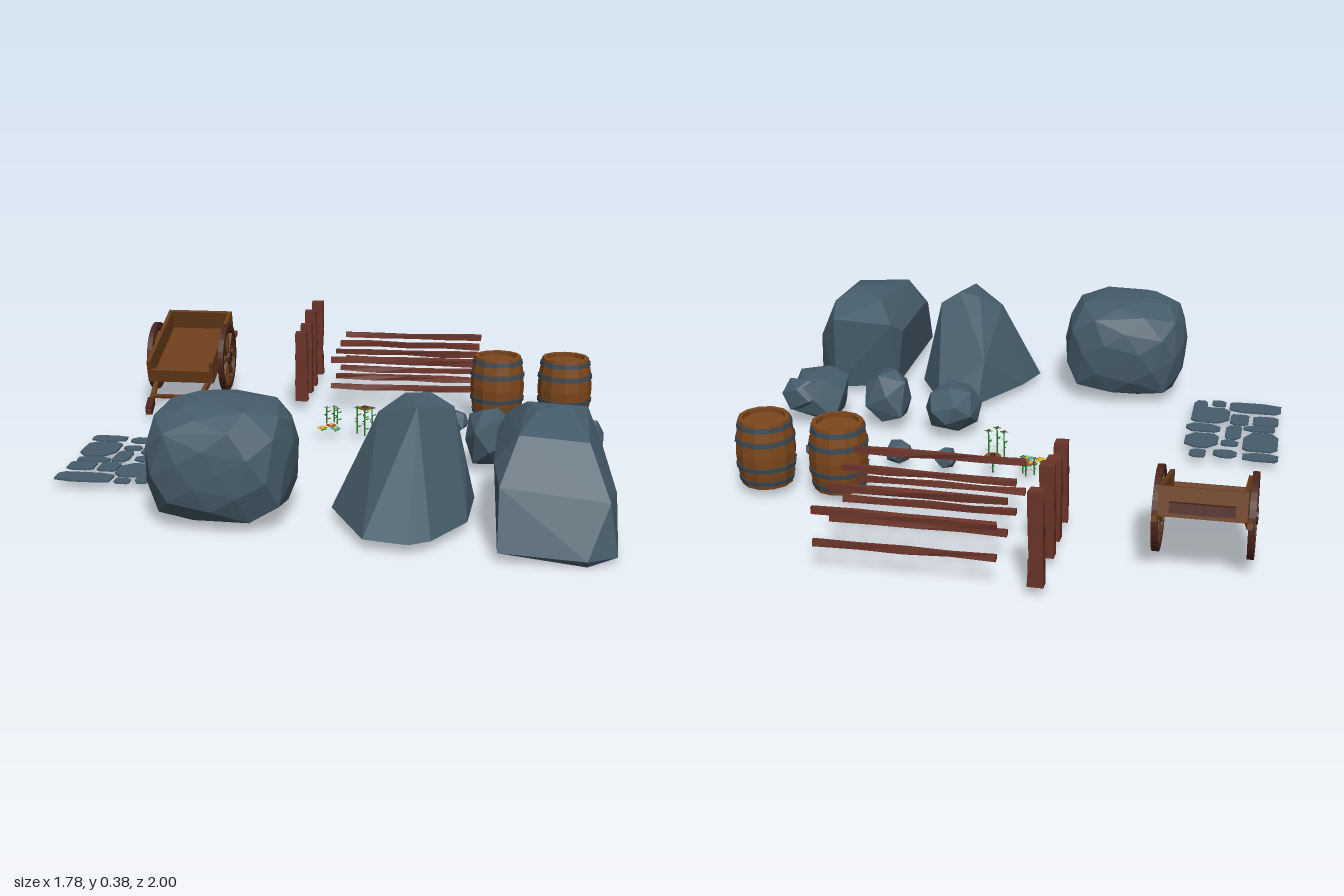
import * as THREE from 'three';
import { ConvexGeometry } from 'three/addons/geometries/ConvexGeometry.js';

const GROUND = 0.03;
const mat = (color, extra = {}) => new THREE.MeshStandardMaterial({ color, flatShading: true, ...extra });
const stone = mat(0x465c6a), wood = mat(0x6a3d1a), oak = mat(0x7c471c), darkWood = mat(0x4a241a),
  fenceWood = mat(0x6b3429), iron = mat(0x3c4850), leaf = mat(0x2c7a2e, { side: THREE.DoubleSide });

// small seeded generator
function seeded(s) {
  return () => { s = (s * 16807) % 2147483647; return s / 2147483647; };
}

function add(parent, name, geo, material, x = 0, y = 0, z = 0) {
  const m = new THREE.Mesh(geo, material);
  m.name = name;
  m.position.set(x, y, z);
  parent.add(m);
  return m;
}
const box = (p, name, m, w, h, d, x, y, z) => add(p, name, new THREE.BoxGeometry(w, h, d), m, x, y, z);

// faceted hull of a jittered superellipsoid, fitted to its box
function rock(parent, name, [x0, x1], [y0, y1], [z0, z1], { count = 22, power = 3, jitter = 0.12, seed = 7 } = {}) {
  const rnd = seeded(seed * 7919), pts = [];
  for (let i = 0; i < count; i++) {
    const y = 1 - 2 * (i + 0.5) / count, a = i * 2.39996 + seed, r = Math.sqrt(1 - y * y);
    const v = new THREE.Vector3(Math.cos(a) * r, y, Math.sin(a) * r);
    const n = (Math.abs(v.x) ** power + Math.abs(v.y) ** power + Math.abs(v.z) ** power) ** (1 / power);
    v.multiplyScalar((1 - jitter * rnd()) / n);
    v.y = Math.max(v.y, -0.8);
    pts.push(v);
  }
  const b = new THREE.Box3().setFromPoints(pts), s = b.getSize(new THREE.Vector3());
  pts.forEach(v => v.sub(b.min).divide(s).multiply(new THREE.Vector3(x1 - x0, y1 - y0, z1 - z0))
    .add(new THREE.Vector3(x0, y0, z0)));
  return add(parent, name, new ConvexGeometry(pts), stone);
}
const hull = (p, name, pts) => add(p, name, new ConvexGeometry(pts.map(q => new THREE.Vector3(...q))), stone);

function boulders(g) {
  rock(g, 'roundBoulder', [-0.515, -0.065], [GROUND, 0.37], [0.45, 0.885], { count: 75, power: 3.4, jitter: 0.03, seed: 3 });
  hull(g, 'peakedBoulder', [
    [0.21, 0.03, 0.31], [0.365, 0.03, 0.33], [0.465, 0.03, 0.51], [0.455, 0.03, 0.74], [0.36, 0.03, 0.915],
    [0.3, 0.03, 0.955], [0.165, 0.03, 0.925], [0.04, 0.03, 0.66], [0.085, 0.03, 0.53],
    [0.175, 0.32, 0.6], [0.25, 0.365, 0.54], [0.33, 0.375, 0.56], [0.4, 0.33, 0.55], [0.3, 0.365, 0.7],
    [0.44, 0.17, 0.6], [0.2, 0.17, 0.38]]);
  hull(g, 'longBoulder', [
    [0.55, 0.03, 0.44], [0.78, 0.02, 0.4], [0.87, 0.03, 0.52], [0.89, 0.03, 0.74], [0.885, 0.02, 0.95],
    [0.8, 0, 0.985], [0.7, 0, 0.8], [0.55, 0.03, 0.985], [0.8, 0.02, 1],
    [0.53, 0.24, 0.46], [0.56, 0.28, 0.4], [0.78, 0.29, 0.4], [0.85, 0.2, 0.47], [0.885, 0.14, 0.74],
    [0.53, 0.24, 0.8], [0.55, 0.2, 0.92], [0.86, 0.17, 0.93], [0.6, 0.325, 0.82], [0.8, 0.31, 0.82],
    [0.62, 0.34, 0.5], [0.65, 0.355, 0.65], [0.75, 0.36, 0.6], [0.8, 0.33, 0.5]]);
  rock(g, 'mediumRock', [0.155, 0.355], [GROUND, 0.18], [0, 0.245], { count: 20, power: 2.2, seed: 5 });
  rock(g, 'mediumRock', [0.415, 0.575], [GROUND, 0.21], [0.06, 0.21], { count: 16, power: 4, seed: 9 });
  rock(g, 'mediumRock', [0.65, 0.85], [GROUND, 0.185], [0.04, 0.25], { count: 20, power: 5, seed: 12 });
  rock(g, 'mediumRock', [0.72, 0.87], [0.07, 0.175], [0.03, 0.13], { count: 14, power: 5, seed: 4 });
  // pebbles: x, z, radius
  [[0.2, -0.24, 0.036], [0.365, -0.23, 0.042], [0.51, -0.235, 0.035], [0.525, -0.27, 0.032],
    [0.66, -0.24, 0.025], [0.81, -0.245, 0.025]].forEach(([x, z, r], i) =>
    rock(g, 'pebble', [x - r, x + r], [GROUND, GROUND + r * 1.7], [z - r, z + r], { count: 16, seed: 20 + i }));
}

// paving stones as cut-cornered slabs: x0, x1, z0, z1
function path(g) {
  const rnd = seeded(4242);
  [[-0.89, -0.77, 0, 0.06], [-0.75, -0.67, 0.01, 0.07], [-0.645, -0.59, 0, 0.06], [-0.885, -0.765, 0.08, 0.235],
    [-0.75, -0.69, 0.11, 0.155], [-0.68, -0.565, 0.08, 0.2], [-0.755, -0.7, 0.17, 0.285], [-0.87, -0.76, 0.25, 0.295],
    [-0.68, -0.56, 0.22, 0.285], [-0.88, -0.79, 0.305, 0.385], [-0.775, -0.71, 0.3, 0.39], [-0.705, -0.57, 0.305, 0.44],
    [-0.885, -0.7, 0.42, 0.505], [-0.685, -0.635, 0.46, 0.51], [-0.62, -0.57, 0.42, 0.5]].forEach(([x0, x1, z0, z1]) => {
    const w = x1 - x0, d = z1 - z0, c = () => 0.08 + 0.26 * rnd(), s = new THREE.Shape();
    s.setFromPoints([[c(), 0], [1 - c(), 0], [1, c()], [1, 1 - c()], [1 - c(), 1], [c(), 1], [0, 1 - c()], [0, c()]]
      .map(([u, v]) => new THREE.Vector2(x0 + u * w, -(z0 + v * d))));
    const geo = new THREE.ExtrudeGeometry(s, { depth: 0.006, bevelEnabled: false }).rotateX(-Math.PI / 2);
    add(g, 'pavingStone', geo, stone, 0, 0.025, 0);
  });
}

function barrel(g, x, z) {
  const b = new THREE.Group();
  b.name = 'barrel';
  b.position.set(x, GROUND, z);
  g.add(b);
  const H = 0.225, radius = y => 0.084 + 0.014 * Math.sin(Math.PI * y / H);
  const v = (r, y) => new THREE.Vector2(r, y);
  const side = [0, 0.05, 0.11, 0.17, H].map(y => v(radius(y), y));
  add(b, 'staves', new THREE.LatheGeometry([v(0, 0), ...side, v(0.07, H), v(0.07, H - 0.015), v(0, H - 0.015)], 12), oak);
  // iron hoops
  [0.012, 0.06, 0.15, 0.198].forEach(y => {
    const r0 = radius(y) + 0.003, r1 = radius(y + 0.016) + 0.003;
    add(b, 'hoop', new THREE.LatheGeometry([v(r0 - 0.01, y), v(r0, y), v(r1, y + 0.016), v(r1 - 0.01, y + 0.016)], 12), iron);
  });
}

function fence(g) {
  // post z, post height, rail z
  [[-0.98, 0.3, -0.97], [-0.8, 0.3, -0.81], [-0.69, 0.27, -0.675], [-0.56, 0.265, -0.53]].forEach(([z, h, rz], i) => {
    const rnd = seeded(991 * (i + 1));
    const rough = (geo, a) => {
      const p = geo.attributes.position, seen = {};
      for (let j = 0; j < p.count; j++) {
        const key = [p.getX(j), p.getY(j), p.getZ(j)].map(n => n.toFixed(3)).join();
        const o = seen[key] ??= [(rnd() - 0.5) * a, (rnd() - 0.5) * a];
        if (geo.parameters.width > 0.2) p.setXYZ(j, p.getX(j), p.getY(j) + o[0], p.getZ(j) + o[1]);
        else p.setXYZ(j, p.getX(j) + o[0], p.getY(j), p.getZ(j) + o[1]);
      }
      return geo;
    };
    add(g, 'fencePost', rough(new THREE.BoxGeometry(0.044, h, 0.038, 1, 3, 1), 0.006), fenceWood, -0.245, GROUND + h / 2, z);
    [0.1, 0.2].forEach(y => {
      box(g, 'postSocket', darkWood, 0.048, 0.022, 0.014, -0.245, y, z);
      add(g, 'fenceRail', rough(new THREE.BoxGeometry(0.545, 0.02, 0.016, 4, 1, 1), 0.007), fenceWood, 0.145, y, rz);
    });
  });
}

function cart(g) {
  const c = new THREE.Group(), bed = new THREE.Group();
  c.name = 'handCart';
  bed.name = 'cartBed';
  c.position.set(-0.697, 0.16, -0.68);
  bed.rotation.x = 0.31;
  c.add(bed);
  g.add(c);
  box(bed, 'floor', wood, 0.24, 0.014, 0.4, 0, 0.012, 0);
  box(bed, 'backWall', wood, 0.25, 0.085, 0.014, 0, 0.05, -0.193);
  box(bed, 'frontWall', wood, 0.25, 0.05, 0.014, 0, 0.03, 0.193);
  box(bed, 'tailBoard', darkWood, 0.185, 0.03, 0.03, 0, 0.035, -0.214);
  box(bed, 'crossBar', wood, 0.2, 0.012, 0.012, 0, -0.002, 0.29);
  add(c, 'axle', new THREE.CylinderGeometry(0.012, 0.012, 0.29, 8).rotateZ(Math.PI / 2), darkWood);
  for (const s of [-1, 1]) {
    box(bed, 'sideWall', wood, 0.014, 0.085, 0.4, s * 0.12, 0.05, 0);
    // shafts converge toward the grips
    const shaft = box(bed, 'shaft', wood, 0.016, 0.018, 0.6, s * 0.108, -0.004, 0.1);
    shaft.rotation.y = -s * 0.09;
    const grip = box(bed, 'grip', darkWood, 0.024, 0.03, 0.075, s * 0.0855, -0.004, 0.355);
    grip.rotation.y = -s * 0.09;
    // wheel
    const w = new THREE.Group();
    w.name = 'wheel';
    w.position.set(s * 0.139, 0, 0);
    w.rotation.y = Math.PI / 2;
    c.add(w);
    const ring = new THREE.Shape().absarc(0, 0, 0.13, 0, Math.PI * 2);
    ring.holes.push(new THREE.Path().absarc(0, 0, 0.108, 0, Math.PI * 2, true));
    add(w, 'rim', new THREE.ExtrudeGeometry(ring, { depth: 0.02, bevelEnabled: false, curveSegments: 16 }), darkWood, 0, 0, -0.01);
    add(w, 'hub', new THREE.CylinderGeometry(0.026, 0.026, 0.028, 10).rotateX(Math.PI / 2), darkWood);
    for (let i = 0; i < 8; i++) {
      const spoke = box(w, 'spoke', wood, 0.016, 0.1, 0.012, 0, 0, 0);
      spoke.geometry.translate(0, 0.064, 0);
      spoke.rotation.z = i * Math.PI / 4;
    }
  }
}

// flower: stem, paired leaves and a ring of petals
function flower(g, x, z, h, color, r, petals = 5, heart = 0xd8b030) {
  const f = new THREE.Group();
  f.name = 'flower';
  f.position.set(x, GROUND, z);
  g.add(f);
  add(f, 'stem', new THREE.CylinderGeometry(0.002, 0.003, h, 5), leaf, 0, h / 2, 0);
  for (let i = 0; i < 4; i++) {
    const l = add(f, 'leaf', new THREE.CircleGeometry(0.009, 5).scale(1, 0.5, 1).rotateX(-1.2).translate(0.009, 0, 0), leaf, 0, h * (0.25 + 0.15 * i), 0);
    l.rotation.set(0, i * 2.1, 0.3);
  }
  const petalMat = mat(color, { side: THREE.DoubleSide });
  for (let i = 0; i < petals; i++) {
    const p = add(f, 'petal', new THREE.CircleGeometry(r / 2, 6).scale(1, 0.75, 1).rotateX(-Math.PI / 2).translate(r / 2, 0, 0), petalMat, 0, h, 0);
    p.rotation.y = i * Math.PI * 2 / petals;
  }
  add(f, 'flowerHeart', new THREE.SphereGeometry(r * 0.35, 6, 4), mat(heart), 0, h, 0);
}

export function createModel() {
  const g = new THREE.Group();
  g.name = 'villageProps';
  boulders(g);
  path(g);
  fence(g);
  cart(g);
  barrel(g, 0.5, -0.45);
  barrel(g, 0.745, -0.455);
  flower(g, 0.033, -0.262, 0.06, 0x7a5216, 0.03, 12, 0x3a2410);
  flower(g, -0.08, -0.19, 0.012, 0xc22a2a, 0.022);
  flower(g, -0.107, -0.155, 0.012, 0xd9b52c, 0.022);
  flower(g, -0.06, -0.153, 0.012, 0x2fb5b0, 0.022);
  [[-0.105, -0.255], [-0.08, -0.272], [-0.065, -0.248]].forEach(([x, z]) => flower(g, x, z, 0.06, 0x2c7a2e, 0.012, 4, 0xd0506a));
  [[0.02, -0.14], [0.05, -0.11], [0.073, -0.14]].forEach(([x, z]) => flower(g, x, z, 0.095, 0x2c7a2e, 0.015, 4, 0x8a2a30));
  return g;
}
